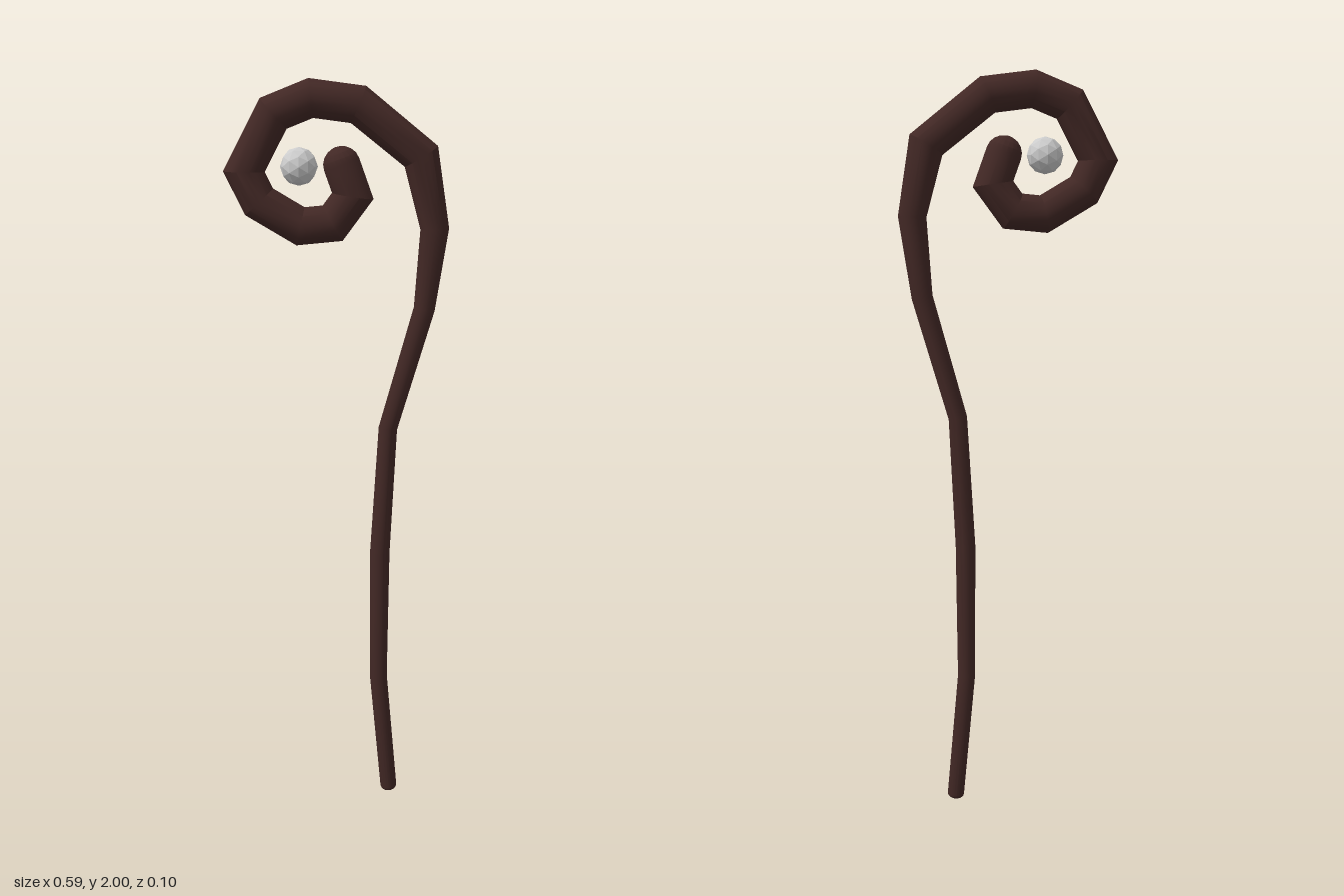
import * as THREE from 'three';
import { toCreasedNormals } from 'three/addons/utils/BufferGeometryUtils.js';

const SIDES = 20;

// Centre line of the staff from foot to curl tip: x, y, radius
const PATH = [
  [0.145, 0.015, 0.023], [0.113, 0.36, 0.024], [0.114, 0.73, 0.027], [0.133, 1.085, 0.025],
  [0.226, 1.41, 0.028], [0.25, 1.62, 0.037], [0.212, 1.805, 0.047], [0.05, 1.934, 0.048],
  [-0.072, 1.95, 0.048], [-0.168, 1.912, 0.048], [-0.245, 1.767, 0.048], [-0.207, 1.69, 0.048],
  [-0.1, 1.627, 0.048], [-0.016, 1.635, 0.048], [0.036, 1.705, 0.048], [0.007, 1.785, 0.048],
];

// Sweep a round section along a flat path with mitred joints and domed ends
function sweep(path, startDepth, endDepth) {
  const pts = path.map(([x, y]) => new THREE.Vector2(x, y));
  const dirs = pts.slice(1).map((p, i) => p.clone().sub(pts[i]).normalize());
  const rings = pts.map((p, i) => {
    const a = dirs[Math.max(i - 1, 0)], b = dirs[Math.min(i, dirs.length - 1)];
    const t = a.clone().add(b).normalize();
    const r = path[i][2];
    return { p, t, wide: r / t.dot(a), deep: r };
  });
  const dome = (ring, depth) => [0.35, 0.7, 1.05, 1.4, Math.PI / 2].map((a) => ({
    p: ring.p.clone().addScaledVector(ring.t, depth * Math.sin(a)),
    t: ring.t,
    wide: ring.wide * Math.cos(a),
    deep: ring.deep * Math.cos(a),
  }));
  const all = [
    ...dome(rings[0], -startDepth).reverse(), ...rings, ...dome(rings[rings.length - 1], endDepth),
  ];

  const pos = [], index = [];
  all.forEach(({ p, t, wide, deep }, i) => {
    for (let j = 0; j < SIDES; j++) {
      const a = (j / SIDES) * Math.PI * 2;
      const w = wide * Math.cos(a);
      pos.push(p.x + t.y * w, p.y - t.x * w, -deep * Math.sin(a));
      if (i === 0) continue;
      const k = (j + 1) % SIDES;
      const lo = (i - 1) * SIDES, hi = i * SIDES;
      // The outermost rings shrink to a point, so they need one triangle per side
      if (i > 1) index.push(lo + j, lo + k, hi + j);
      if (i < all.length - 1) index.push(lo + k, hi + k, hi + j);
    }
  });
  const geo = new THREE.BufferGeometry();
  geo.setAttribute('position', new THREE.Float32BufferAttribute(pos, 3));
  geo.setIndex(index);
  return toCreasedNormals(geo, 0.4);
}

export function createModel() {
  const model = new THREE.Group();
  model.name = 'curledStaff';

  // Wooden shaft running into the spiral crook
  const wood = new THREE.MeshStandardMaterial({ color: 0x422825 });
  const staff = new THREE.Mesh(sweep(PATH, 0.015, 0.046), wood);
  staff.name = 'staff';
  staff.position.z = -0.002;
  model.add(staff);

  // Faceted orb held inside the curl
  const stone = new THREE.MeshStandardMaterial({ color: 0xcccccc, flatShading: true });
  const orb = new THREE.Mesh(new THREE.IcosahedronGeometry(0.049, 1), stone);
  orb.name = 'orb';
  orb.position.set(-0.103, 1.78, 0.001);
  model.add(orb);

  return model;
}
